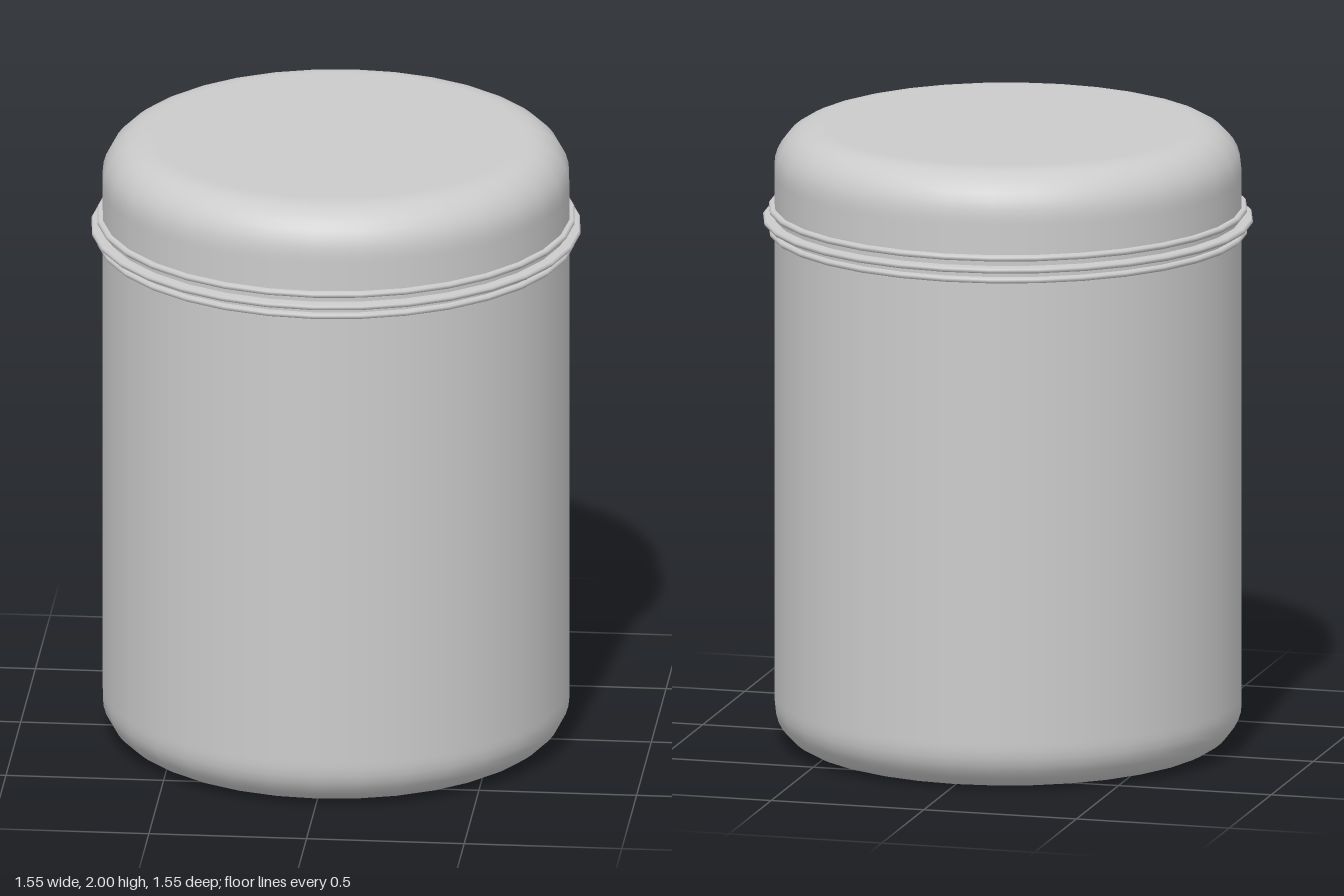
import * as THREE from 'three';

const SEGMENTS = 32;
const RADIUS = 0.74;
const CORNER = 0.14;
const SEAM = 1.7;

export function createModel() {
  const group = new THREE.Group();
  const material = new THREE.MeshStandardMaterial({ color: 0xcccccc, side: THREE.DoubleSide });

  const addLathe = (name, points) => {
    const mesh = new THREE.Mesh(new THREE.LatheGeometry(points, SEGMENTS), material);
    mesh.name = name;
    group.add(mesh);
  };

  // Quarter-round corner, from angle a0 to a1, centred at height y
  const corner = (y, a0, a1, steps = 8) =>
    Array.from({ length: steps + 1 }, (_, i) => {
      const a = a0 + ((a1 - a0) * i) / steps;
      return new THREE.Vector2(RADIUS - CORNER + CORNER * Math.cos(a), y + CORNER * Math.sin(a));
    });

  // Canister body: flat base, rounded lower edge, straight wall
  addLathe('body', [
    new THREE.Vector2(0, 0),
    new THREE.Vector2(RADIUS - CORNER - 0.02, 0),
    ...corner(CORNER, -Math.PI / 2, 0),
    new THREE.Vector2(RADIUS, CORNER + 0.02),
    new THREE.Vector2(RADIUS, SEAM),
  ]);

  // Lid: short wall, rounded upper edge, flat top
  addLathe('lid', [
    new THREE.Vector2(RADIUS, SEAM),
    new THREE.Vector2(RADIUS, 2 - CORNER - 0.02),
    ...corner(2 - CORNER, 0, Math.PI / 2),
    new THREE.Vector2(RADIUS - CORNER - 0.02, 2),
    new THREE.Vector2(0, 2),
  ]);

  // Thin rims around the seam, with softly rounded outer edges
  const addRim = (name, y, radius, h) => {
    const bevel = h * 0.6;
    addLathe(name, [
      new THREE.Vector2(RADIUS - 0.02, y - h),
      new THREE.Vector2(radius - bevel, y - h),
      new THREE.Vector2(radius, y - h + bevel),
      new THREE.Vector2(radius, y + h - bevel),
      new THREE.Vector2(radius - bevel, y + h),
      new THREE.Vector2(RADIUS - 0.02, y + h),
    ]);
  };
  addRim('bodyRim', 1.664, 0.757, 0.009);
  addRim('sealRing', SEAM, 0.775, 0.009);
  addRim('lidRim', 1.735, 0.757, 0.009);

  return group;
}
